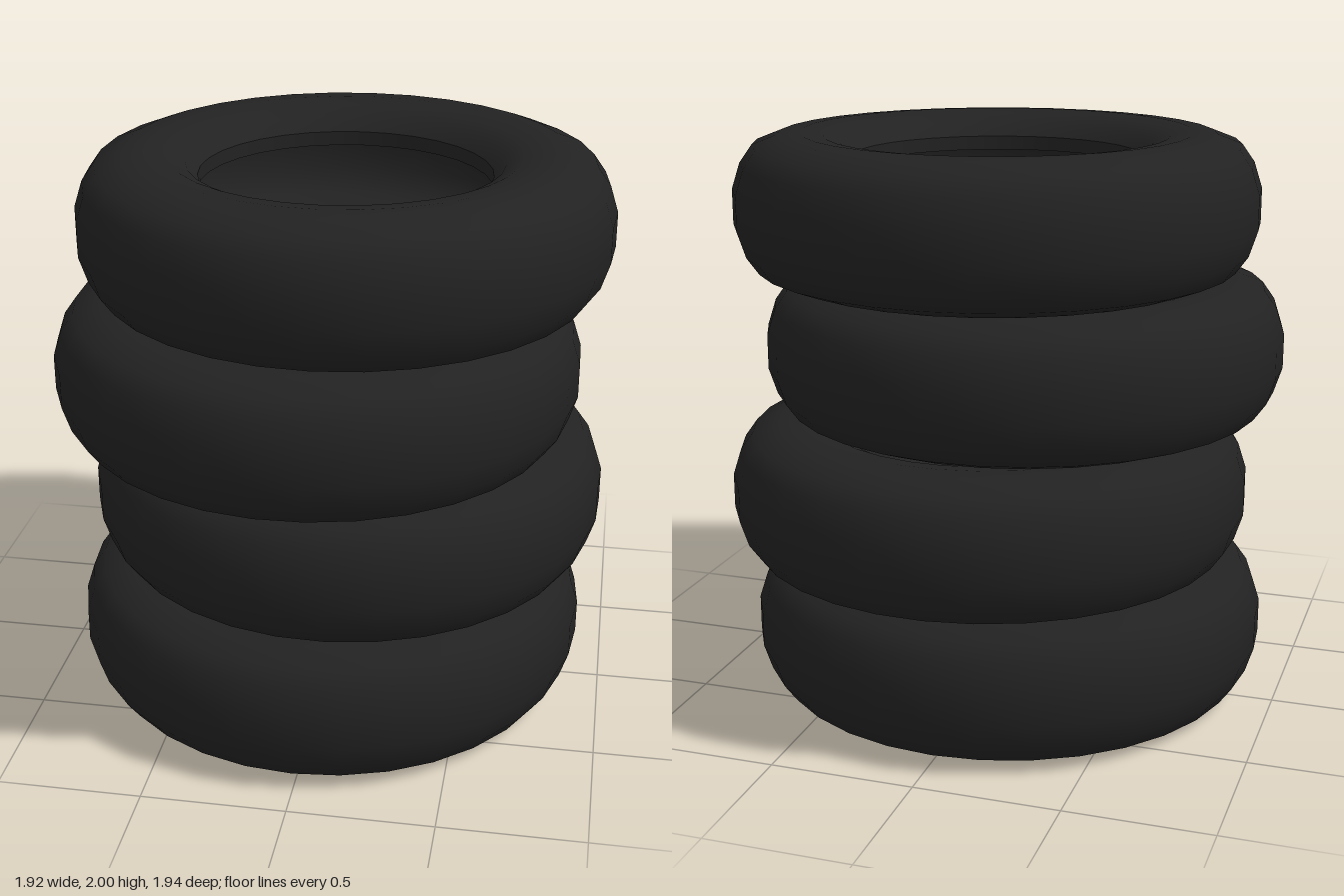
import * as THREE from 'three';

const HALF = 0.25; // half the width of one tire

// Mirrors a half profile of [radius, height above the tire's middle]
function fullProfile(half) {
  const lower = half.map(([r, y]) => new THREE.Vector2(r, -y)).reverse();
  const upper = half.map(([r, y]) => new THREE.Vector2(r, y));
  return lower.concat(upper);
}

export function createModel() {
  const model = new THREE.Group();
  model.name = 'tireStack';
  const rubber = new THREE.MeshStandardMaterial({ color: 0x222222 });
  rubber.name = 'black rubber';

  // Tread, rounded shoulder and dished sidewall, ending at the bead
  const outer = fullProfile([
    [0.917, 0.06], [0.888, 0.15], [0.845, 0.21], [0.76, 0.243],
    [0.68, 0.25], [0.6, 0.238], [0.54, 0.21], [0.5, 0.165],
  ]);
  // Bead faces and hollow lining, running from top to bottom
  const bead = fullProfile([[0.5, 0.115], [0.5, 0.165]]);
  const lining = fullProfile([
    [0.83, 0.07], [0.78, 0.15], [0.7, 0.185], [0.6, 0.165], [0.5, 0.115],
  ]).reverse();
  const beadTop = bead.slice(2).reverse();
  const beadBottom = bead.slice(0, 2).reverse();

  const parts = [
    ['treadAndSidewalls', outer],
    ['upperBead', beadTop],
    ['lining', lining],
    ['lowerBead', beadBottom],
  ].map(([name, points]) => [name, new THREE.LatheGeometry(points, 32)]);

  // Offsets and turns of the tires, from bottom to top
  const places = [
    [-0.01, 0, 0], [0.045, -0.055, 0.06], [-0.05, 0.058, 0.12], [0.04, 0.015, 0.03],
  ];
  places.forEach(([x, z, turn], i) => {
    const tire = new THREE.Group();
    tire.name = `tire${i + 1}`;
    for (const [name, geometry] of parts) {
      const mesh = new THREE.Mesh(geometry, rubber);
      mesh.name = name;
      tire.add(mesh);
    }
    tire.position.set(x, HALF + i * 2 * HALF, z);
    tire.rotation.y = turn;
    model.add(tire);
  });
  return model;
}
